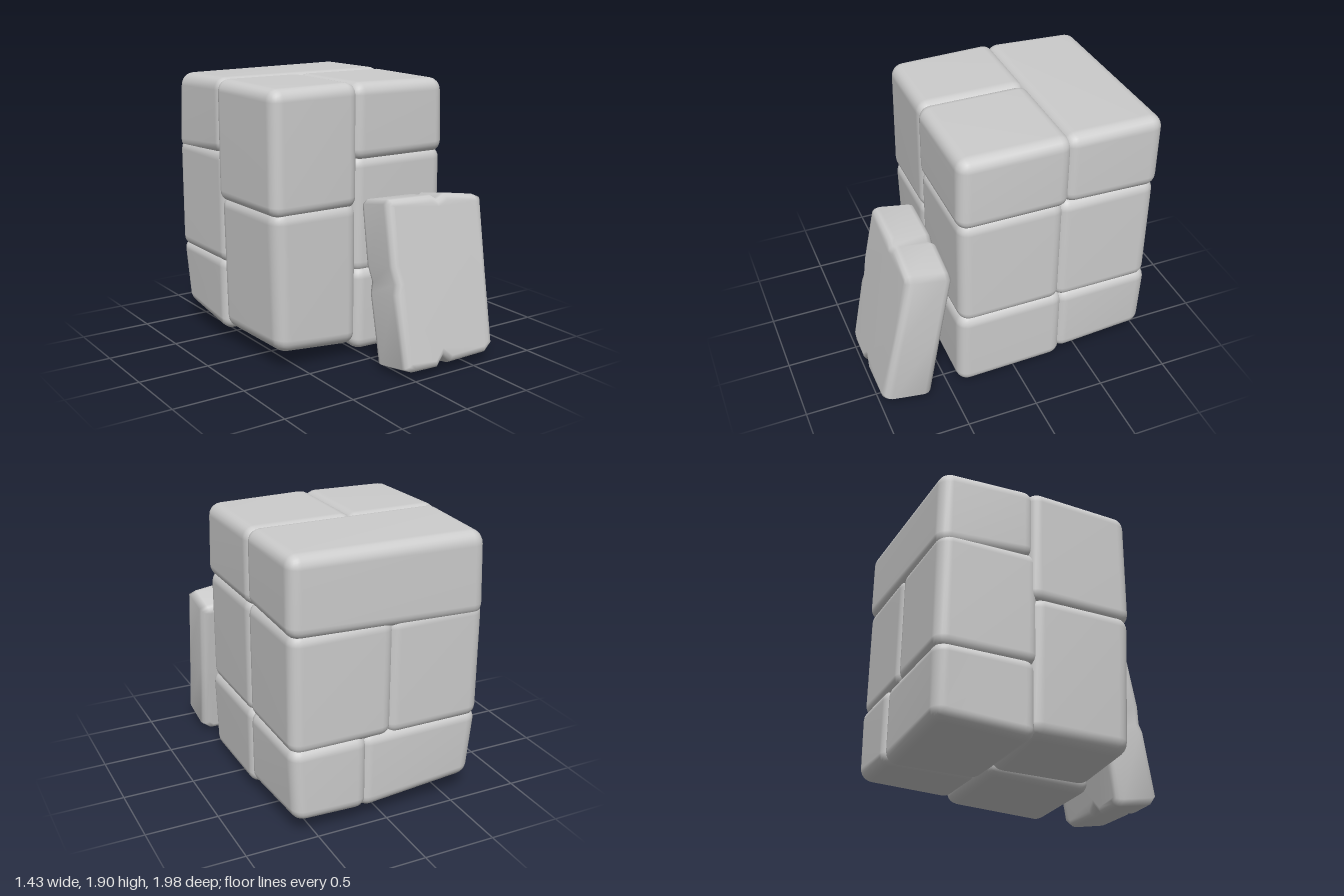
import * as THREE from 'three';
import { mergeVertices } from 'three/addons/utils/BufferGeometryUtils.js';
import { RoundedBoxGeometry } from 'three/addons/geometries/RoundedBoxGeometry.js';

const stone = new THREE.MeshStandardMaterial({ color: 0xcccccc });
stone.name = 'grey stone';

// Weld the surface so the worn edges shade smoothly
function smooth(geometry) {
  geometry.deleteAttribute('uv');
  geometry.deleteAttribute('normal');
  const g = mergeVertices(geometry, 1e-4);
  g.computeVertexNormals();
  return g;
}

// Rounded block between two corners; shifts move single corners, keyed by the
// signs of x, y and z, and the move fades out towards the other corners
function block(name, min, max, shifts = {}, radius = 0.085) {
  const size = max.map((v, i) => v - min[i]);
  const mid = max.map((v, i) => (v + min[i]) / 2);
  const geometry = new RoundedBoxGeometry(...size, 3, radius);
  const p = geometry.attributes.position;
  for (let i = 0; i < p.count; i++) {
    const v = [p.getX(i), p.getY(i), p.getZ(i)];
    const out = [...v];
    for (const [key, move] of Object.entries(shifts)) {
      let w = 1;
      for (let a = 0; a < 3; a++) {
        w *= 0.5 + (key[a] === '+' ? 1 : -1) * v[a] / size[a];
      }
      for (let a = 0; a < 3; a++) out[a] += w * move[a];
    }
    p.setXYZ(i, ...out);
  }
  const mesh = new THREE.Mesh(smooth(geometry), stone);
  mesh.name = name;
  mesh.position.set(...mid);
  return mesh;
}

// Leaning slab: chipped outline with a soft bevel
function slab() {
  const outline = [
    [-0.07, -0.53], [0.0, -0.565], [0.2, -0.57], [0.25, -0.515], [0.3, -0.56],
    [0.62, -0.555], [0.69, -0.5], [0.7, 0.0], [0.715, 0.51], [0.66, 0.535],
    [0.4, 0.575], [0.335, 0.545], [0.29, 0.575], [-0.05, 0.585], [-0.085, 0.555],
    [-0.09, 0.15], [-0.065, 0.03], [-0.085, -0.04],
  ].map(([x, y]) => new THREE.Vector2(x, y));
  const bevel = 0.05, depth = 0.31;
  const geometry = new THREE.ExtrudeGeometry(new THREE.Shape(outline), {
    depth: depth - 2 * bevel, bevelEnabled: true, bevelSize: bevel,
    bevelThickness: bevel, bevelOffset: -bevel, bevelSegments: 3, steps: 1,
  });
  geometry.translate(0, 0, bevel - depth / 2);
  // slightly thicker towards the foot
  const p = geometry.attributes.position;
  for (let i = 0; i < p.count; i++) p.setZ(i, p.getZ(i) * (1.06 - 0.1 * p.getY(i)));
  const mesh = new THREE.Mesh(smooth(geometry), stone);
  mesh.name = 'leaningSlab';
  mesh.rotation.x = -0.18;
  mesh.position.set(0, 0.605, 0.73);
  return mesh;
}

export function createModel() {
  const group = new THREE.Group();
  group.name = 'stoneStack';

  // Top course: two blocks in front, one long block behind
  group.add(
    block('topBackBlock', [-0.7, 1.39, -0.99], [0.68, 1.925, -0.3],
      { '---': [0, -0.06, 0], '+-+': [0, 0.02, 0], '-+-': [0.02, -0.02, 0.01] }),
    block('topFrontRightBlock', [-0.09, 1.39, -0.35], [0.68, 1.92, 0.43],
      { '+++': [-0.01, -0.01, -0.01] }),
    block('topFrontLeftBlock', [-0.72, 1.07, -0.35], [-0.04, 1.92, 0.42],
      { '-++': [0.01, -0.01, -0.01], '--+': [0.01, 0, 0] }),
  );

  // Right front column
  group.add(
    block('middleFrontRightBlock', [-0.09, 0.61, -0.32], [0.67, 1.435, 0.42]),
    block('bottomFrontRightBlock', [-0.09, 0.06, -0.34], [0.68, 0.665, 0.435],
      { '+-+': [-0.02, -0.02, 0], '+--': [0, 0.02, 0], '---': [0, 0.03, 0] }),
  );

  // Left front column
  group.add(
    block('bottomFrontLeftBlock', [-0.71, 0.1, -0.34], [-0.04, 1.13, 0.42],
      { '--+': [0.04, 0.05, -0.02], '---': [0.02, 0.05, 0] }, 0.1),
  );

  // Two lower courses at the back
  group.add(
    block('middleBackRightBlock', [-0.05, 0.61, -0.98], [0.67, 1.435, -0.27]),
    block('middleBackLeftBlock', [-0.7, 0.61, -0.98], [0.0, 1.435, -0.27]),
    block('bottomBackRightBlock', [0.13, 0.12, -0.99], [0.68, 0.665, -0.29],
      { '+--': [-0.03, 0.02, 0] }),
    block('bottomBackLeftBlock', [-0.7, 0.11, -0.98], [0.18, 0.665, -0.29],
      { '---': [0.04, 0.06, 0.02] }),
  );

  // Solid middle behind the joints
  group.add(block('core', [-0.6, 0.2, -0.88], [0.58, 1.82, 0.32], {}, 0.05));

  group.add(slab());
  return group;
}
